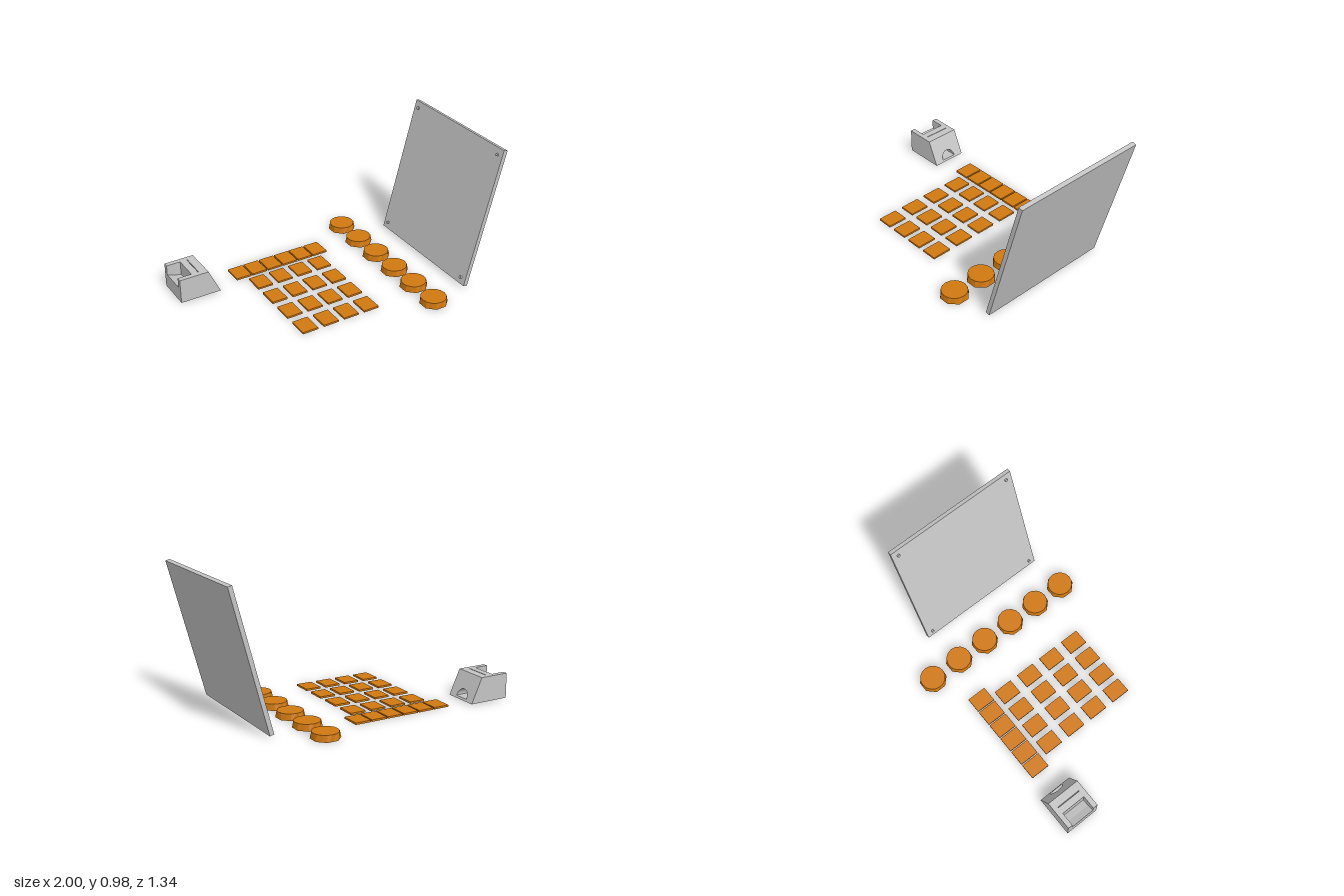
import * as THREE from 'three';

export function createModel() {
  const model = new THREE.Group();
  const grey = new THREE.MeshStandardMaterial({ color: 0xc4c4c4 });
  grey.name = 'light grey';
  const orange = new THREE.MeshStandardMaterial({ color: 0xd07810 });
  orange.name = 'orange';

  const add = (name, geometry, material, x, y, z, parent = model) => {
    const mesh = new THREE.Mesh(geometry, material);
    mesh.name = name;
    mesh.position.set(x, y, z);
    parent.add(mesh);
    return mesh;
  };
  const shapeOf = (points) => new THREE.Shape(points.map(([x, y]) => new THREE.Vector2(x, y)));

  // Flat square keys: one close row of six and a four by four grid
  const key = new THREE.BoxGeometry(0.112, 0.013, 0.14);
  for (let i = 0; i < 6; i++) add('rowKey', key, orange, -0.5 + i * 0.1218, 0.0065, -0.413);
  for (let row = 0; row < 4; row++) {
    for (let col = 0; col < 4; col++) {
      add('gridKey', key, orange, -0.428 + col * 0.155, 0.0065, -0.234 + row * 0.201);
    }
  }

  // Knobs: round top running into an eight-sided foot
  const knob = new THREE.CylinderGeometry(0.088, 0.09, 0.045, 16).toNonIndexed();
  const p = knob.attributes.position;
  for (let i = 0; i < p.count; i++) {
    const x = p.getX(i), z = p.getZ(i);
    if (p.getY(i) > 0 || Math.hypot(x, z) < 0.01) continue;
    const step = Math.round(Math.atan2(z, x) / (Math.PI / 8));
    const s = step % 2 ? 1 / Math.cos(Math.PI / 8) : 1;
    p.setX(i, x * s);
    p.setZ(i, z * s);
  }
  knob.computeVertexNormals();
  for (let i = 0; i < 6; i++) add('knob', knob, orange, 0.444, 0.0225, -0.585 + i * 0.2315);

  // Leaning panel with four corner pegs
  const panel = new THREE.Group();
  panel.name = 'panel';
  panel.position.set(0.855, 0.494, 0.064);
  panel.rotation.z = -Math.PI / 12;
  model.add(panel);
  add('panelBoard', new THREE.BoxGeometry(0.03, 0.993, 0.973), grey, 0, 0, 0, panel);
  const peg = new THREE.CylinderGeometry(0.01, 0.01, 0.014, 16).rotateZ(Math.PI / 2);
  for (const y of [-0.45, 0.45]) {
    for (const z of [-0.44, 0.44]) add('panelPeg', peg, grey, -0.02, y, z, panel);
  }

  // Wedge stand
  const stand = new THREE.Group();
  stand.name = 'stand';
  stand.position.z = -0.41;
  model.add(stand);
  const base = 0.005, top = 0.18, half = 0.125, inner = 0.09, slotX = -0.852;

  // Front wedge: block with an arched opening, its front end sheared to a slope
  const front = shapeOf([[-half, base], [half, base], [half, top], [-half, top]]);
  const arch = new THREE.Path();
  arch.moveTo(0.055, 0.02);
  arch.absarc(0, 0.02, 0.055, 0, Math.PI, false);
  arch.closePath();
  front.holes.push(arch);
  const wedge = new THREE.ExtrudeGeometry(front, { depth: 0.1, bevelEnabled: false, curveSegments: 20 });
  wedge.rotateY(Math.PI / 2);
  const w = wedge.attributes.position;
  for (let i = 0; i < w.count; i++) {
    const t = (w.getY(i) - base) / (top - base);
    w.setX(i, w.getX(i) > 0.05 ? -0.71 - 0.08 * t : slotX + 0.005);
  }
  wedge.computeVertexNormals();
  add('standFront', wedge, grey, 0, 0, 0, stand);

  // Side walls and the filling under the narrow slot
  const wallWidth = half - inner, wallLength = slotX + 0.005 + 1;
  const wall = new THREE.BoxGeometry(wallLength, top - base, wallWidth);
  for (const side of [-1, 1]) {
    add('standSide', wall, grey, -1 + wallLength / 2, (top + base) / 2, side * (half - wallWidth / 2), stand);
  }
  add('slotFloor', new THREE.BoxGeometry(0.005, 0.12, inner * 2), grey, slotX + 0.0025, base + 0.06, 0, stand);

  // Rear cradle with an open, sloping recess
  const cradle = shapeOf([[-1, base], [slotX, base], [slotX, top], [-0.9, top], [-0.9, 0.08], [-0.95, 0.09], [-1, 0.11]]);
  const cradleGeometry = new THREE.ExtrudeGeometry(cradle, { depth: inner * 2, bevelEnabled: false });
  add('standCradle', cradleGeometry, grey, 0, 0, -inner, stand);

  return model;
}
